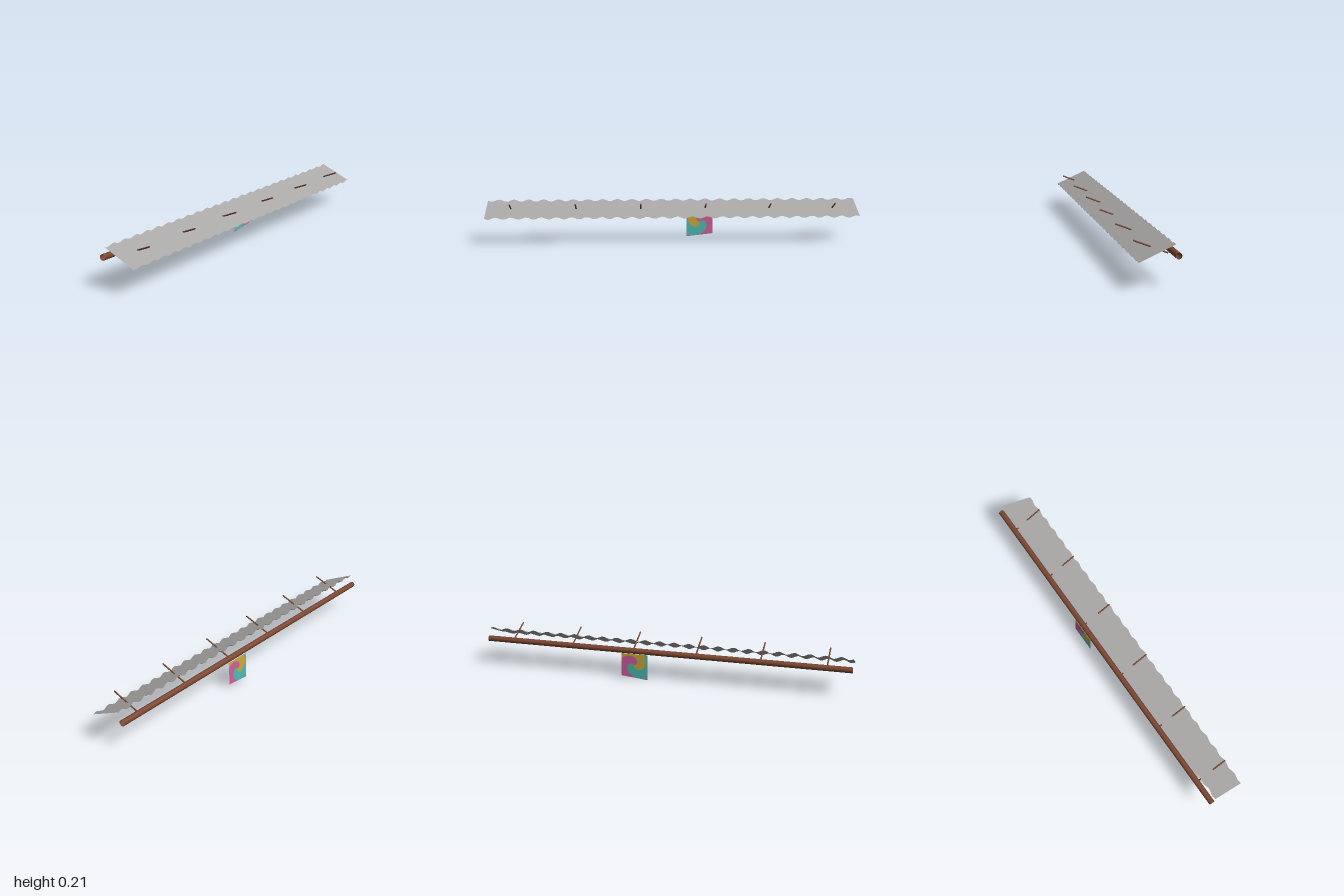
import * as THREE from 'three';

const material = (name, color, side = THREE.DoubleSide) => {
  const m = new THREE.MeshStandardMaterial({ color, side });
  m.name = name;
  return m;
};

export function createModel() {
  const group = new THREE.Group();
  const metal = material('sheet metal grey', 0xaaa8a6);
  const wood = material('wood brown', 0x7a4630);
  const pink = material('cloth pink', 0xd0609a);
  const gold = material('cloth gold', 0xcaac3e);
  const teal = material('cloth teal', 0x4fbab4);

  const add = (name, geometry, mat) => {
    const mesh = new THREE.Mesh(geometry, mat);
    mesh.name = name;
    group.add(mesh);
    return mesh;
  };

  // Corrugated roof sheet, evenly shaded, ripples running front to back
  const sheet = new THREE.PlaneGeometry(2, 0.187, 300, 1);
  const sp = sheet.attributes.position;
  for (let i = 0; i < sp.count; i++) {
    sp.setZ(i, 0.0062 * Math.sin(sp.getX(i) * Math.PI * 25));
  }
  sheet.rotateX(THREE.MathUtils.degToRad(-66.3));
  sheet.translate(0, 0.1715, 0.0165);
  add('roofSheet', sheet, metal);

  // Long hollow pole behind the sheet
  const pole = new THREE.CylinderGeometry(0.0155, 0.0155, 2, 16, 1, true);
  pole.rotateZ(Math.PI / 2);
  add('pole', pole, wood).position.set(0, 0.155, -0.0845);

  // Six pegs piercing the sheet and reaching the pole
  const low = new THREE.Vector3(0, 0.138, -0.073);
  const high = new THREE.Vector3(0, 0.205, 0.09);
  const direction = high.clone().sub(low);
  const pegGeometry = new THREE.CylinderGeometry(0.004, 0.004, direction.length(), 10);
  for (let i = 0; i < 6; i++) {
    const peg = add('peg' + (i + 1), pegGeometry, wood);
    peg.position.copy(low).add(high).multiplyScalar(0.5);
    peg.position.x = (i - 2.5) * 0.347;
    peg.quaternion.setFromUnitVectors(new THREE.Vector3(0, 1, 0), direction.clone().normalize());
  }

  // Hanging cloth: three spiral arms clamped to a slightly skewed rectangle
  const halfW = 0.0725, top = 0.142, centreY = 0.078;
  const rings = 44, steps = 14;
  const swirlArm = (centreAngle) => {
    const positions = [], index = [];
    for (let i = 0; i <= rings; i++) {
      const r = (0.13 * i) / rings;
      for (let j = 0; j <= steps; j++) {
        const a = centreAngle - 35 * (r - 0.065) + (j / steps - 0.5) * (Math.PI * 2 / 3);
        const x = THREE.MathUtils.clamp(r * Math.cos(a), -halfW, halfW);
        const y = THREE.MathUtils.clamp(centreY + r * Math.sin(a), 0, top);
        const drop = 1 - y / top;
        const u = x / halfW;
        positions.push(
          0.1525 + x,
          y + drop * (0.009 + 0.008 * u),
          -0.0995 - 0.003 * drop - 0.0015 * u * drop - 0.001 * Math.sin(drop * Math.PI)
        );
        if (i < rings && j < steps) {
          const k = i * (steps + 1) + j, n = k + steps + 1;
          index.push(k, n, n + 1, k, n + 1, k + 1);
        }
      }
    }
    const g = new THREE.BufferGeometry();
    g.setAttribute('position', new THREE.Float32BufferAttribute(positions, 3));
    g.setIndex(index);
    // One even facing for the whole cloth
    g.setAttribute('normal', new THREE.Float32BufferAttribute(
      positions.map((_, i) => (i % 3 === 2 ? 1 : 0)), 3));
    return g;
  };
  [['Gold', gold, 110], ['Teal', teal, 230], ['Pink', pink, 350]].forEach(([name, mat, deg]) => {
    add('bannerSwirl' + name, swirlArm(THREE.MathUtils.degToRad(deg)), mat);
  });

  return group;
}
